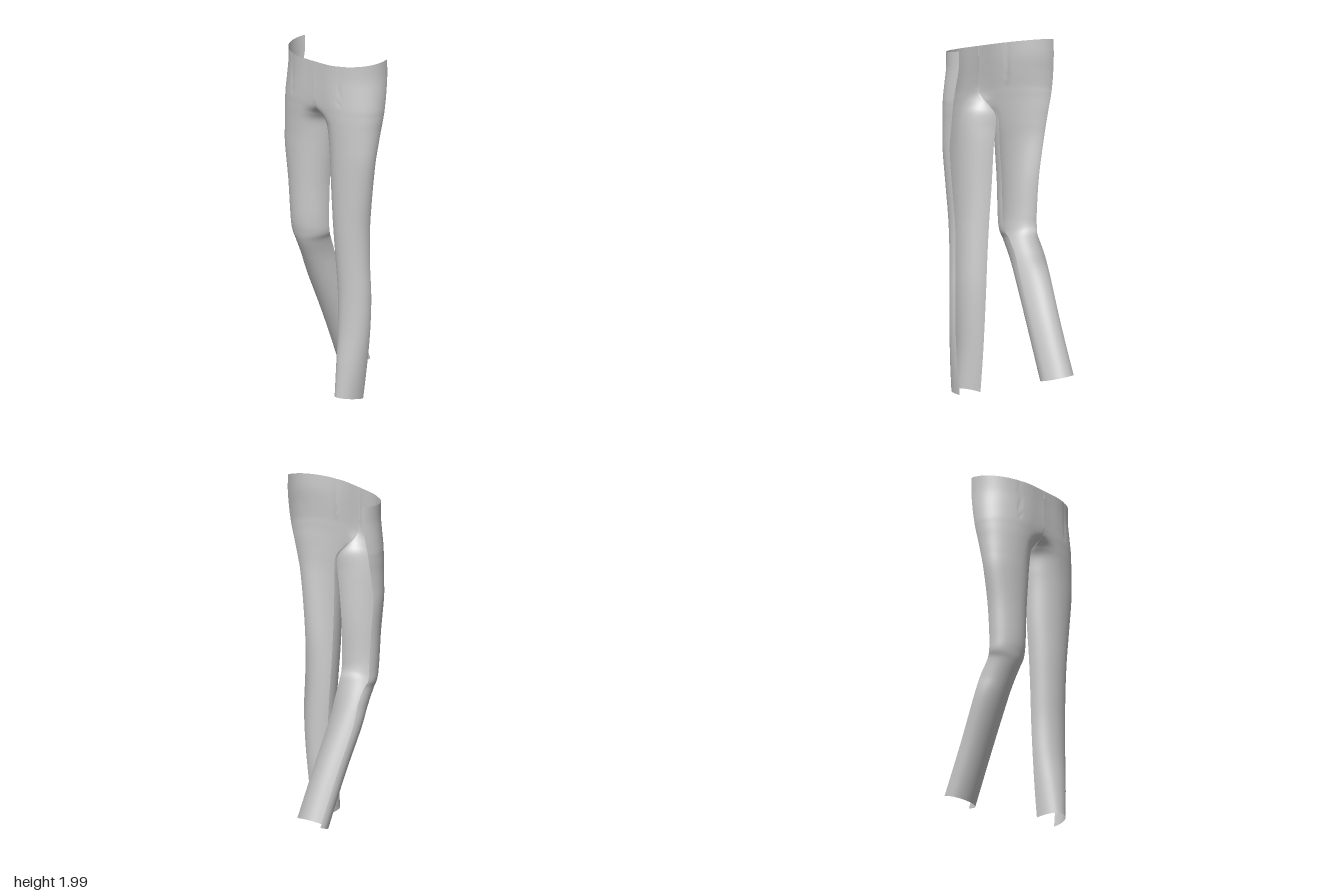
import * as THREE from 'three';

// Each cross-section: [y, xOuter, xFront, xInner, zOuter, zFront, zInner, tilt]
// Hips and upper thigh, shared by both sides; the inner edge leaves the centre line at the crotch.
const HIP = [
  [1.965, 0.355, 0.08, 0, 0.0, 0.249, 0.25, 0.14],
  [1.88, 0.357, 0.08, 0, 0.0, 0.247, 0.249, 0.1],
  [1.79, 0.365, 0.09, 0, 0.015, 0.246, 0.248, 0.05],
  [1.72, 0.369, 0.11, 0, 0.03, 0.244, 0.243, 0],
  [1.68, 0.368, 0.125, 0, 0.037, 0.241, 0.222, 0],
  [1.64, 0.366, 0.14, 0.002, 0.045, 0.238, 0.15, 0],
  [1.59, 0.362, 0.155, 0.008, 0.055, 0.234, 0.085, 0],
  [1.5, 0.357, 0.17, 0.014, 0.072, 0.229, 0.08, 0],
  [1.4, 0.349, 0.178, 0.023, 0.086, 0.226, 0.085, 0],
];

// Straight leg
const LEFT = [
  [1.2, 0.326, 0.18, 0.034, 0.091, 0.22, 0.088, 0],
  [1.0, 0.306, 0.18, 0.05, 0.09, 0.214, 0.09, 0],
  [0.8, 0.303, 0.185, 0.066, 0.087, 0.204, 0.087, 0],
  [0.6, 0.309, 0.192, 0.079, 0.083, 0.196, 0.083, 0],
  [0.4, 0.304, 0.192, 0.086, 0.088, 0.2, 0.088, 0],
  [0.2, 0.285, 0.187, 0.094, 0.095, 0.218, 0.095, 0],
  [0.02, 0.26, 0.18, 0.103, 0.102, 0.232, 0.105, -0.1],
];

// Leg bent backward at the knee
const RIGHT = [
  [1.2, 0.318, 0.178, 0.04, 0.09, 0.22, 0.088, 0],
  [1.0, 0.302, 0.175, 0.046, 0.09, 0.214, 0.088, 0],
  [0.91, 0.298, 0.175, 0.05, 0.085, 0.202, 0.08, 0.1],
  [0.85, 0.285, 0.175, 0.066, 0.062, 0.184, 0.055, 0.2],
  [0.75, 0.29, 0.178, 0.078, 0.015, 0.138, 0.015, 0.28],
  [0.63, 0.3, 0.182, 0.08, -0.025, 0.084, -0.025, 0.33],
  [0.36, 0.291, 0.182, 0.074, -0.135, -0.033, -0.135, 0.33],
  [0.075, 0.291, 0.18, 0.072, -0.25, -0.146, -0.25, 0.33],
];

// Smooth interpolation of all section values along the leg
function sectionAt(rows, s) {
  const n = rows.length - 1;
  const k = Math.min(Math.floor(s), n - 1);
  const f = s - k;
  const p = (i) => rows[Math.max(0, Math.min(n, i))];
  return rows[k].map((_, c) => {
    const [a, b, d, e] = [p(k - 1)[c], p(k)[c], p(k + 1)[c], p(k + 2)[c]];
    const m0 = (d - a) / 2, m1 = (e - b) / 2;
    return b + f * (m0 + f * (3 * (d - b) - 2 * m0 - m1 + f * (2 * (b - d) + m0 + m1)));
  });
}

// Point on the open arc: u = 0 side edge, 0.5 front, 1 inner edge
function arcPoint([y, xo, xf, xi, zo, zf, zi, tilt], u) {
  let x, z;
  if (u < 0.5) {
    const lip = 0.25;
    const t = -lip + (u * 2) * (Math.PI / 2 + lip);
    const s = Math.sin(lip);
    const zc = (zo + zf * s) / (1 + s);
    x = xf + (xo - xf) * Math.cos(t);
    z = zc + (zf - zc) * Math.sin(t);
  } else {
    const t = (u - 0.5) * Math.PI;
    x = xf + (xi - xf) * Math.sin(t);
    z = zi + (zf - zi) * Math.cos(t);
  }
  const py = y + tilt * (zf - z);
  // Narrow waist dart pressed into the front
  const fade = THREE.MathUtils.smoothstep(py, 1.71, 1.77);
  if (z > 0.12) z -= 0.006 * fade * Math.exp(-(((x - 0.195) / 0.006) ** 2));
  return [x, py, z];
}

// Sheet from the waist to the hem of one side
function halfGeometry(rows, side) {
  const steps = 8, cols = 72;
  const count = (rows.length - 1) * steps;
  const pos = [], index = [];
  for (let j = 0; j <= count; j++) {
    const section = sectionAt(rows, j / steps);
    for (let i = 0; i <= cols; i++) {
      const [x, y, z] = arcPoint(section, i / cols);
      pos.push(side * x, y, z);
      if (j < count && i < cols) {
        const a = j * (cols + 1) + i, b = a + cols + 1;
        if (side > 0) index.push(a, a + 1, b, a + 1, b + 1, b);
        else index.push(a, b, a + 1, a + 1, b, b + 1);
      }
    }
  }
  const g = new THREE.BufferGeometry();
  g.setAttribute('position', new THREE.Float32BufferAttribute(pos, 3));
  g.setIndex(index);
  g.computeVertexNormals();
  return g;
}

export function createModel() {
  const group = new THREE.Group();
  group.name = 'trouserFront';
  const cloth = new THREE.MeshStandardMaterial({ color: 0xcccccc, side: THREE.DoubleSide });
  const add = (name, leg, side) => {
    const mesh = new THREE.Mesh(halfGeometry([...HIP, ...leg], side), cloth);
    mesh.name = name;
    group.add(mesh);
  };
  add('leftTrouserPanel', LEFT, 1);
  add('rightTrouserPanel', RIGHT, -1);
  return group;
}
